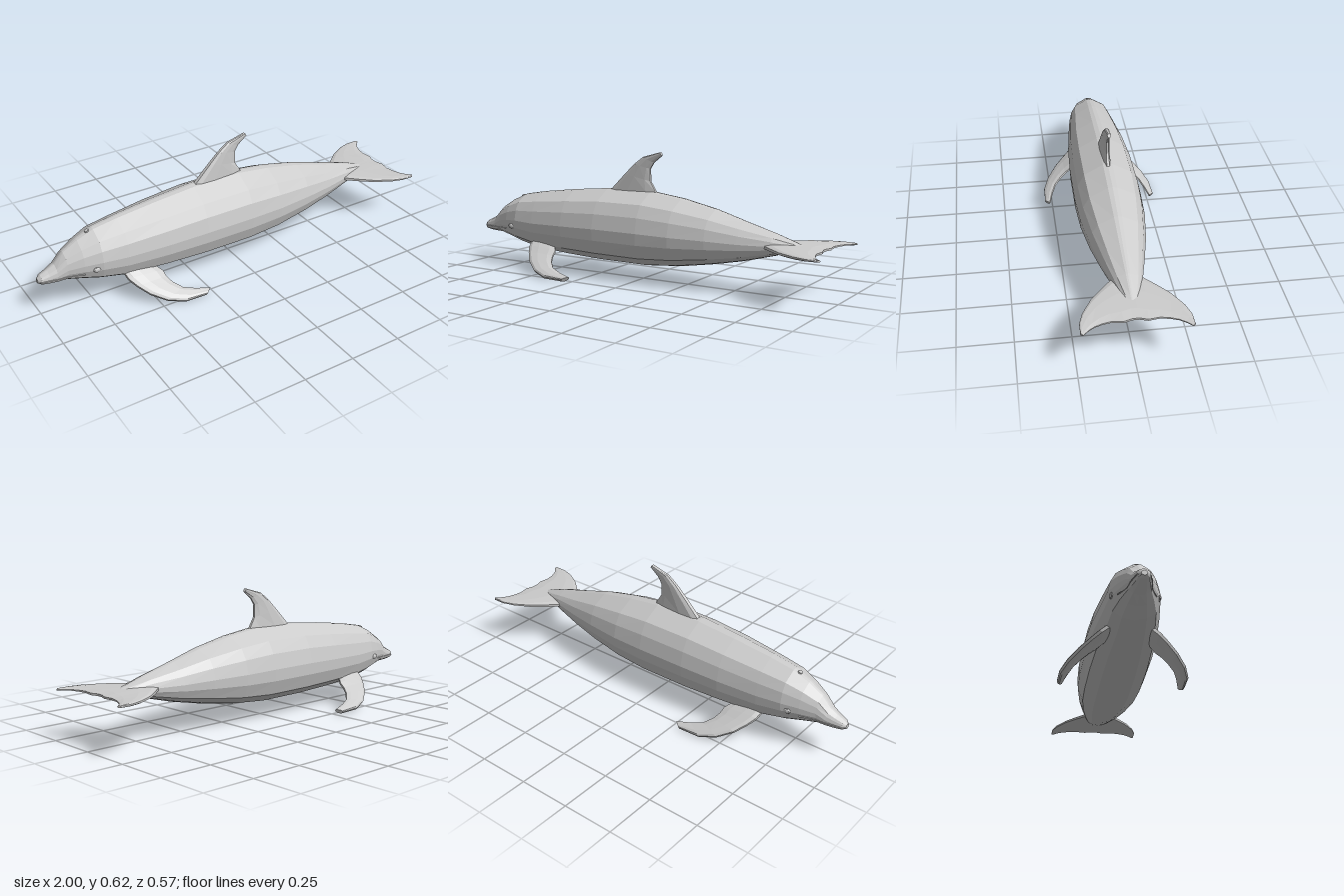
import * as THREE from 'three';

const material = new THREE.MeshStandardMaterial({ color: 0xcccccc, flatShading: true });

function addMesh(group, name, geometry) {
  const mesh = new THREE.Mesh(geometry, material);
  mesh.name = name;
  group.add(mesh);
  return mesh;
}

// Skins a list of equal-length rings and closes both ends
function loft(rings) {
  const n = rings[0].length;
  const points = rings.flat();
  const index = [];
  for (let i = 0; i < rings.length - 1; i++) {
    for (let j = 0; j < n; j++) {
      const a = i * n + j, b = i * n + (j + 1) % n;
      index.push(a, b, a + n, b, b + n, a + n);
    }
  }
  const last = (rings.length - 1) * n;
  for (let j = 1; j < n - 1; j++) {
    index.push(0, j + 1, j, last, last + j, last + j + 1);
  }
  const indexed = new THREE.BufferGeometry().setFromPoints(points);
  indexed.setIndex(index);
  const geometry = indexed.toNonIndexed();
  geometry.computeVertexNormals();
  return geometry;
}

// Body stations: x, top, bottom, half width
const stations = [
  [-1, 0.2, 0.178, 0.012], [-0.985, 0.215, 0.17, 0.027], [-0.95, 0.231, 0.165, 0.036],
  [-0.915, 0.25, 0.163, 0.046], [-0.87, 0.3, 0.16, 0.058], [-0.8, 0.342, 0.144, 0.085],
  [-0.72, 0.377, 0.123, 0.111], [-0.6, 0.398, 0.097, 0.127], [-0.4, 0.422, 0.086, 0.149],
  [-0.2, 0.44, 0.078, 0.16], [0.05, 0.441, 0.077, 0.162], [0.22, 0.419, 0.092, 0.154],
  [0.4, 0.381, 0.122, 0.13], [0.55, 0.337, 0.153, 0.099], [0.7, 0.295, 0.193, 0.065],
  [0.8, 0.262, 0.224, 0.035], [0.85, 0.245, 0.235, 0.014],
];

// Half of the unit cross-section, from back to belly
const half = [[0, 1], [0.14, 0.98], [0.7, 0.7], [0.9, 0.38], [1, -0.02],
  [0.98, -0.33], [0.82, -0.7], [0.47, -0.91], [0, -1]];
const section = [...half, ...half.slice(1, -1).reverse().map(([z, y]) => [-z, y])];

function bodyRing([x, top, bottom, width]) {
  const middle = (top + bottom) / 2, height = (top - bottom) / 2;
  return section.map(([z, y]) => new THREE.Vector3(x, middle + y * height, z * width));
}

// Fin from rows of [lead u, lead v, trail u, trail v, half thickness];
// u runs along the chord (x), v along the given span direction
function fin(rows, span, origin) {
  const profile = [[0, 0.45], [0.12, 0.9], [0.4, 1], [0.8, 0.75], [1, 0.3]];
  const loop = [...profile, ...profile.map(([f, w]) => [f, -w]).reverse()];
  const geometry = loft(rows.map(([lu, lv, tu, tv, t]) => loop.map(([f, w]) =>
    new THREE.Vector3(lu + (tu - lu) * f, lv + (tv - lv) * f, w * t))));
  const u = new THREE.Vector3(1, 0, 0);
  const v = new THREE.Vector3(...span).normalize();
  const w = new THREE.Vector3().crossVectors(u, v);
  return geometry.applyMatrix4(new THREE.Matrix4().makeBasis(u, v, w).setPosition(...origin));
}

const dorsalRows = [
  [-0.22, 0.4, 0.09, 0.4, 0.024], [-0.18, 0.44, 0.07, 0.44, 0.022],
  [-0.1, 0.52, 0.04, 0.49, 0.018], [-0.05, 0.568, 0.04, 0.55, 0.015],
  [0, 0.605, 0.06, 0.58, 0.012], [0.095, 0.631, 0.105, 0.615, 0.009],
];
const flipperRows = [
  [-0.62, -0.02, -0.48, -0.02, 0.017], [-0.61, 0.03, -0.44, 0.04, 0.016],
  [-0.585, 0.075, -0.435, 0.075, 0.014], [-0.545, 0.13, -0.42, 0.11, 0.014],
  [-0.48, 0.185, -0.385, 0.15, 0.013], [-0.4, 0.218, -0.33, 0.175, 0.012],
  [-0.29, 0.222, -0.26, 0.197, 0.01],
];
const flukeRows = [
  [0.66, 0, 0.93, 0, 0.016], [0.662, 0.015, 0.93, 0.015, 0.016],
  [0.675, 0.07, 0.942, 0.05, 0.015], [0.73, 0.12, 0.935, 0.1, 0.013],
  [0.79, 0.17, 0.943, 0.14, 0.011], [0.87, 0.215, 0.957, 0.175, 0.009],
  [0.93, 0.234, 0.975, 0.2, 0.007], [0.99, 0.236, 1, 0.225, 0.005],
];

export function createModel() {
  const model = new THREE.Group();
  model.name = 'dolphin';

  addMesh(model, 'body', loft(stations.map(bodyRing)));
  addMesh(model, 'dorsalFin', fin(dorsalRows, [0, 1, 0], [0, 0, 0]));

  // Paired parts
  for (const [side, s] of [['left', 1], ['right', -1]]) {
    addMesh(model, side + 'Flipper', fin(flipperRows, [0, -0.562, 0.827 * s], [0, 0.138, 0.1 * s]));
    addMesh(model, side + 'Fluke', fin(flukeRows, [0, 0, s], [0, 0.239, 0]));

    const eye = addMesh(model, side + 'Eye', new THREE.SphereGeometry(1, 8, 6));
    eye.scale.set(0.02, 0.013, 0.008);
    eye.position.set(-0.75, 0.215, 0.1 * s);

    // Lip line along the side of the beak
    const lip = new THREE.CatmullRomCurve3([[-0.997, 0.188, 0.012], [-0.985, 0.188, 0.026],
      [-0.95, 0.19, 0.035], [-0.915, 0.191, 0.044], [-0.87, 0.191, 0.051], [-0.8, 0.196, 0.08]]
      .map(([x, y, z]) => new THREE.Vector3(x, y, z * s)));
    addMesh(model, side + 'Lip', new THREE.TubeGeometry(lip, 12, 0.003, 5));
  }

  // Blowhole on top of the head
  const blowhole = addMesh(model, 'blowhole', new THREE.CylinderGeometry(0.01, 0.012, 0.008, 8));
  blowhole.position.set(-0.745, 0.366, 0);
  blowhole.rotation.z = 0.41;

  return model;
}
